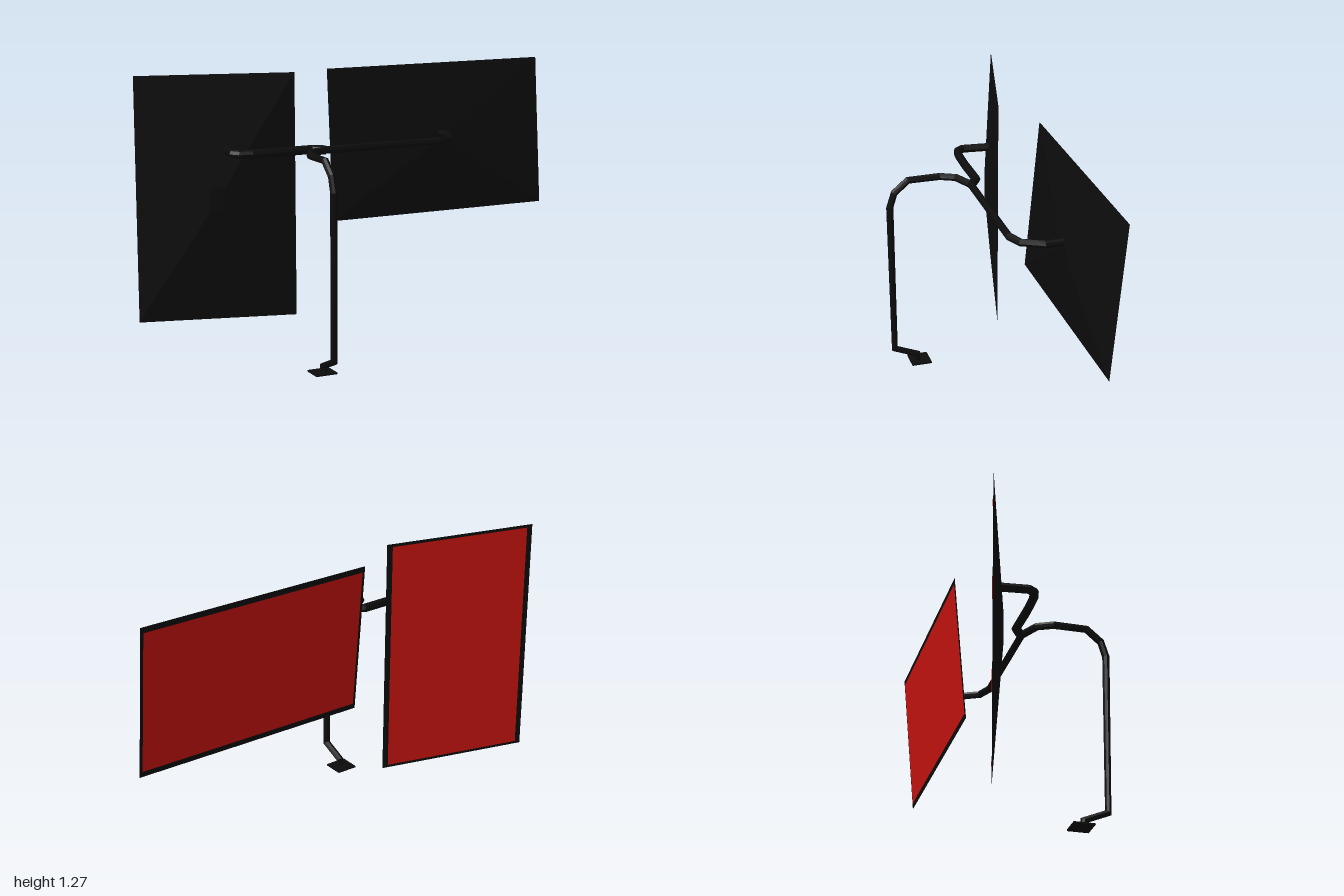
import * as THREE from 'three';

const black = new THREE.MeshStandardMaterial({ color: 0x0c0c0c, flatShading: true });
const red = new THREE.MeshStandardMaterial({ color: 0xc8140e });

// Straight-segment path whose rings sit exactly on the corner points
class Polyline extends THREE.Curve {
  constructor(points) {
    super();
    this.points = points.map((p) => new THREE.Vector3(...p));
  }
  getPointAt(u) {
    return this.points[Math.round(u * (this.points.length - 1))].clone();
  }
  getTangentAt(u) {
    const p = this.points, n = p.length - 1, i = Math.round(u * n);
    const t = new THREE.Vector3();
    if (i > 0) t.add(p[i].clone().sub(p[i - 1]).normalize());
    if (i < n) t.add(p[i + 1].clone().sub(p[i]).normalize());
    return t.normalize();
  }
}

function bentTube(name, points, radius) {
  const geo = new THREE.TubeGeometry(new Polyline(points), points.length - 1, radius, 8);
  const mesh = new THREE.Mesh(geo, black);
  mesh.name = name;
  return mesh;
}

// Flat screen facing -z with a shallow pyramid casing behind it
function monitor(name, w, h, borderX, borderY) {
  const group = new THREE.Group();
  group.name = name;
  const r = Math.SQRT1_2;
  const casing = new THREE.CylinderGeometry(r * 0.1, r, 1, 4, 1)
    .rotateY(Math.PI / 4)
    .rotateX(Math.PI / 2)
    .translate(0, 0, 0.5)
    .scale(w, h, 0.045)
    .toNonIndexed();
  casing.computeVertexNormals();
  const shell = new THREE.Mesh(casing, black);
  shell.name = 'casing';
  const screen = new THREE.Mesh(
    new THREE.PlaneGeometry(w - 2 * borderX, h - 2 * borderY).rotateY(Math.PI), red);
  screen.name = 'screen';
  screen.position.z = -0.002;
  group.add(shell, screen);
  return group;
}

export function createModel() {
  const model = new THREE.Group();
  model.name = 'dualMonitorStand';

  // Foot plate
  const foot = new THREE.Mesh(new THREE.BoxGeometry(0.1, 0.007, 0.095), black);
  foot.name = 'footPlate';
  foot.position.set(-0.36, 0.0035, 0.205);
  model.add(foot);

  // Post that rises from the foot and runs on as the long arm
  const y = 0.94;
  model.add(bentTube('postAndLongArm', [
    [-0.36, 0.002, 0.217], [-0.36, 0.035, 0.217], [-0.36, 0.08, 0.325],
    [-0.36, 0.815, 0.332], [-0.36, 0.885, 0.31], [-0.36, y, 0.245],
    [-0.36, y, 0.095], [-0.327, y, 0.028], [-0.235, y, -0.015],
    [0.33, y, -0.017], [0.4, y, -0.047], [0.447, y, -0.14], [0.447, y, -0.235],
  ], 0.017));

  // Short arm branching to the upright monitor
  model.add(bentTube('shortArm', [
    [-0.235, y, -0.015], [-0.255, y, -0.035], [-0.285, y, -0.055], [-0.45, y, -0.052],
    [-0.57, y, -0.055], [-0.62, y, -0.066], [-0.64, y, -0.095], [-0.625, y, -0.235],
  ], 0.02));

  // Upright monitor, turned inwards
  const upright = monitor('uprightMonitor', 0.707, 1.1, 0.026, 0.013);
  upright.position.set(-0.658, 0.72, -0.257);
  upright.rotation.y = -0.25;
  model.add(upright);

  // Wide monitor, tilted downwards
  const wide = monitor('wideMonitor', 1.1, 0.695, 0.013, 0.026);
  wide.position.set(0.448, 0.915, -0.262);
  wide.rotation.x = -0.087;
  model.add(wide);

  return model;
}
